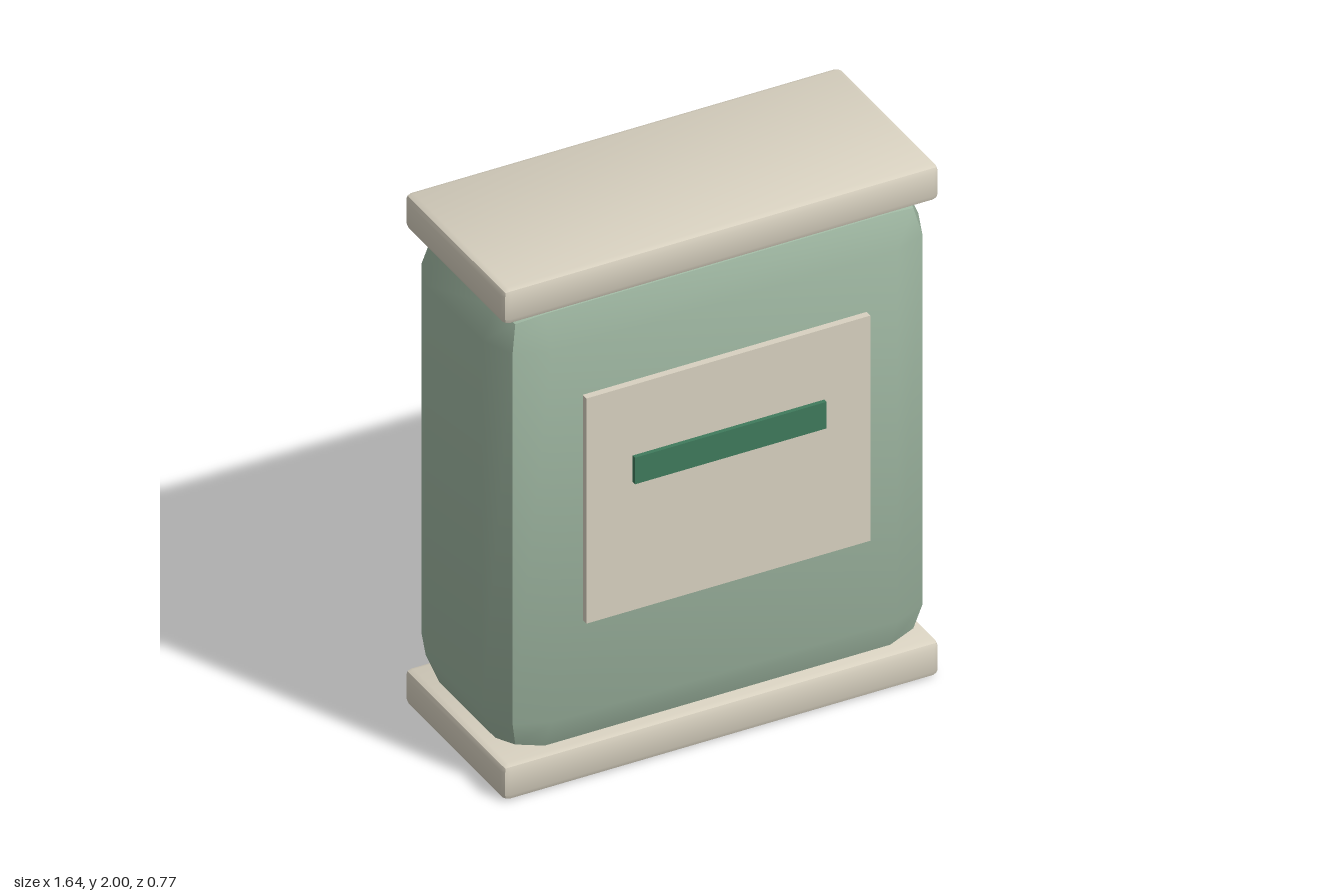
import * as THREE from 'three';
import { toCreasedNormals } from 'three/addons/utils/BufferGeometryUtils.js';
import { RoundedBoxGeometry } from 'three/addons/geometries/RoundedBoxGeometry.js';

function material(name, color) {
  const m = new THREE.MeshStandardMaterial({ color });
  m.name = name;
  return m;
}

export function createModel() {
  const sage = material('sage green', 0x9db5a0);
  const cream = material('warm cream', 0xd8d1c0);
  const green = material('deep green', 0x3f7a5c);

  const group = new THREE.Group();
  group.name = 'canister';

  // Adds a block; a radius gives it one-step rounded edges.
  function block(name, mat, [w, h, d], [x, y, z], radius = 0) {
    const geometry = radius
      ? toCreasedNormals(new RoundedBoxGeometry(w, h, d, 1, radius), 0.6)
      : new THREE.BoxGeometry(w, h, d);
    const mesh = new THREE.Mesh(geometry, mat);
    mesh.name = name;
    mesh.position.set(x, y, z);
    group.add(mesh);
  }

  // Body, its rounded ends sunk into the base and lid
  block('body', sage, [1.636, 1.79, 0.73], [0, 1, -0.021], 0.17);

  // Base and lid slabs
  block('base', cream, [1.636, 0.137, 0.70], [0, 0.0685, -0.021], 0.025);
  block('lid', cream, [1.636, 0.137, 0.70], [0, 1.9315, -0.021], 0.025);

  // Front label and its stripe
  block('label', cream, [1.064, 0.882, 0.04], [0, 1.081, 0.35]);
  block('labelStripe', green, [0.718, 0.104, 0.03], [0, 1.194, 0.371]);

  return group;
}
